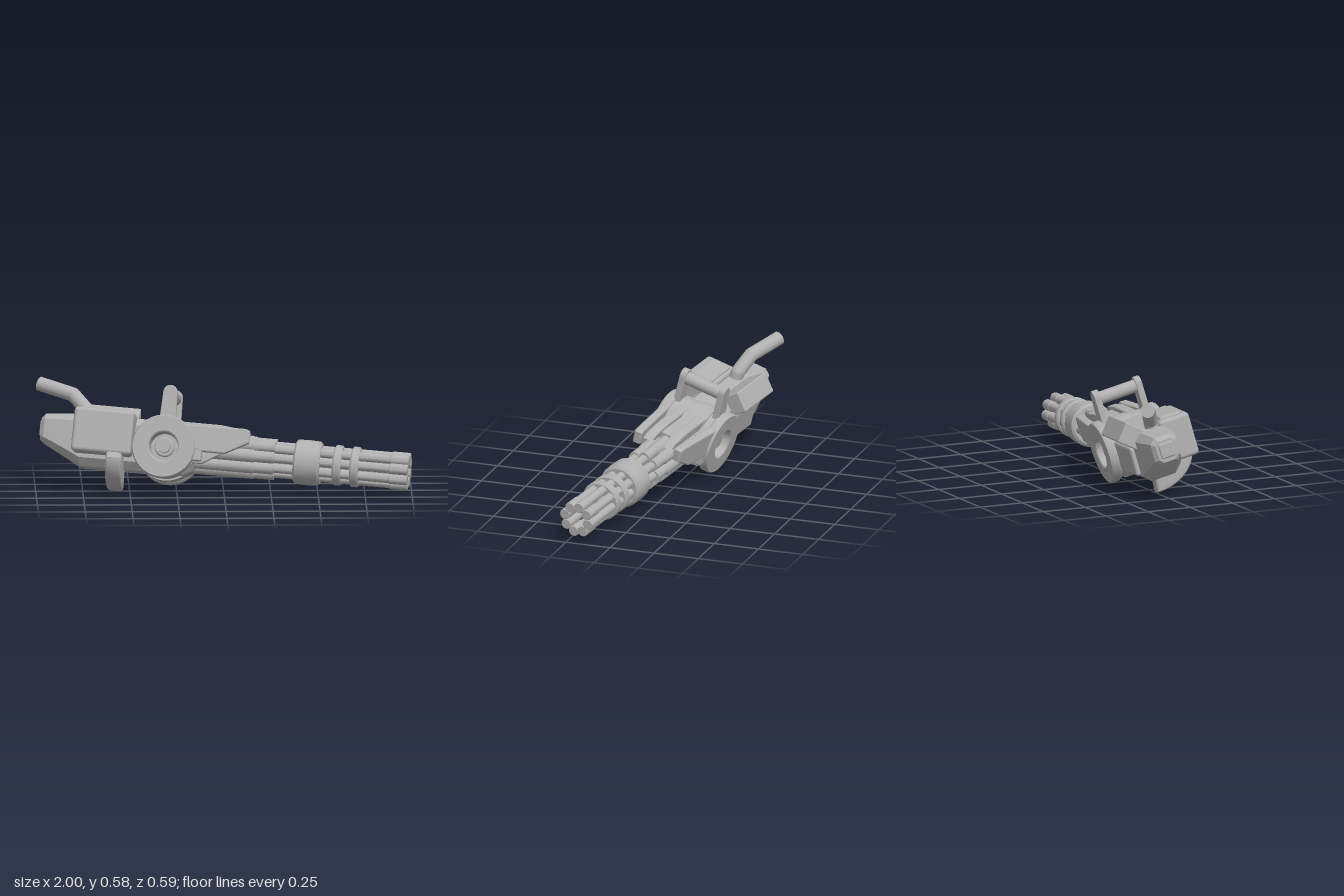
import * as THREE from 'three';
import { toCreasedNormals } from 'three/addons/utils/BufferGeometryUtils.js';
import { RoundedBoxGeometry } from 'three/addons/geometries/RoundedBoxGeometry.js';

const metal = new THREE.MeshStandardMaterial({ color: 0xb0b0b0 });
metal.name = 'grey metal';

export function createModel() {
  const model = new THREE.Group();
  model.name = 'rotaryGun';
  // Local frame: x runs along the barrels, y up, z to the front side
  const gun = new THREE.Group();
  gun.name = 'gun';
  const axisX = new THREE.Vector3(0.9855, -0.07, 0.154).normalize();
  const axisY = new THREE.Vector3(-0.131, 0.26, 0.957).cross(axisX).normalize();
  const axisZ = axisX.clone().cross(axisY);
  gun.quaternion.setFromRotationMatrix(new THREE.Matrix4().makeBasis(axisX, axisY, axisZ));
  gun.position.set(0, 0.197, 0.043);
  model.add(gun);

  const add = (name, geo, x = 0, y = 0, z = 0, rx = 0) => {
    const m = new THREE.Mesh(geo, metal);
    m.name = name;
    m.position.set(x, y, z);
    m.rotation.x = rx;
    gun.add(m);
    return m;
  };
  // Turned part along x from [radius, x] pairs, in order of rising x
  const turned = (pts, seg = 32) => toCreasedNormals(
    new THREE.LatheGeometry(pts.map(([r, x]) => new THREE.Vector2(r, x)), seg).rotateZ(-Math.PI / 2), 0.6);
  const box = (x0, x1, y0, y1, z0, z1, r, name) => add(name,
    new RoundedBoxGeometry(x1 - x0, y1 - y0, z1 - z0, 2, r), (x0 + x1) / 2, (y0 + y1) / 2, (z0 + z1) / 2);
  const plate = (pts, depth, bevel) => new THREE.ExtrudeGeometry(
    new THREE.Shape(pts.map(([x, y]) => new THREE.Vector2(x, y))),
    { depth: depth - 2 * bevel, bevelThickness: bevel, bevelSize: bevel, bevelOffset: -bevel, bevelSegments: 2 })
    .translate(0, 0, bevel - depth / 2);

  // Barrel cluster
  for (let i = 0; i < 8; i++) {
    const a = i / 8 * Math.PI * 2, c = Math.cos(a), s = Math.sin(a);
    add('barrel', turned([[0, 0.1], [0.025, 0.1], [0.025, 0.9], [0.029, 0.905], [0.029, 0.997], [0.026, 1], [0, 1]], 20),
      0, c * 0.072, s * 0.072);
    add('barrelSleeve', turned([[0, -0.25], [0.035, -0.25], [0.035, 0.17], [0.031, 0.175], [0.031, 0.28], [0, 0.28]], 16),
      0, c * 0.079, s * 0.079);
  }
  add('centreTube', turned([[0, -0.2], [0.062, -0.2], [0.062, 0.27], [0.045, 0.28], [0.045, 0.8], [0.03, 0.8], [0.03, 0.7], [0, 0.7]]));
  add('shroud', turned([[0, 0.385], [0.105, 0.385], [0.118, 0.395], [0.121, 0.45], [0.118, 0.515], [0.105, 0.527], [0, 0.527]], 40));
  for (const x of [0.618, 0.712]) {
    add('clampRing', turned([[0, x - 0.023], [0.1, x - 0.023], [0.108, x - 0.014], [0.108, x + 0.014], [0.1, x + 0.023], [0, x + 0.023]], 40));
  }

  // Receiver lofted from chamfered rectangles: [x, bottom, top, half width]
  const sections = [[-0.985, -0.01, 0.11, 0.055], [-0.965, -0.025, 0.13, 0.075], [-0.83, -0.095, 0.14, 0.1],
    [-0.76, -0.133, 0.145, 0.11], [-0.2, -0.133, 0.145, 0.11], [-0.14, -0.1, 0.11, 0.09]];
  const verts = [], index = [];
  sections.forEach(([x, b, t, h], k) => {
    const c = h * 0.38;
    const ring = [[b, -h + c], [b, h - c], [b + c, h], [t - c, h], [t, h - c], [t, -h + c], [t - c, -h], [b + c, -h]];
    ring.forEach(([y, z]) => verts.push(x, y, z));
    if (k) for (let i = 0; i < 8; i++) {
      const a = (k - 1) * 8 + i, b2 = (k - 1) * 8 + (i + 1) % 8;
      index.push(a, a + 8, b2, b2, a + 8, b2 + 8);
    }
  });
  const last = (sections.length - 1) * 8;
  for (let i = 1; i < 7; i++) index.push(0, i, i + 1, last, last + i + 1, last + i);
  // Turn every face outward from the middle of the body
  for (let i = 0; i < index.length; i += 3) {
    const [a, b, c] = [0, 1, 2].map(j => new THREE.Vector3().fromArray(verts, index[i + j] * 3));
    const n = b.clone().sub(a).cross(c.clone().sub(a));
    const out = a.add(b).add(c).divideScalar(3).sub(new THREE.Vector3(-0.55, 0.01, 0));
    if (n.dot(out) < 0) [index[i + 1], index[i + 2]] = [index[i + 2], index[i + 1]];
  }
  const loft = new THREE.BufferGeometry();
  loft.setAttribute('position', new THREE.Float32BufferAttribute(verts, 3));
  loft.setIndex(index);
  add('receiver', toCreasedNormals(loft, 0.3));

  // Central drum with a raised band
  add('drum', new THREE.CylinderGeometry(0.157, 0.157, 0.26, 40, 1, true).rotateX(Math.PI / 2), -0.305);
  add('drumBand', new THREE.CylinderGeometry(0.166, 0.166, 0.1, 40).rotateX(Math.PI / 2), -0.305, 0, -0.04);

  // Side wheels, side panels, handle posts and top covers on both sides
  const wheelProfile = [[0.135, 0], [0.162, 0], [0.17, 0.01], [0.17, 0.045], [0.164, 0.055], [0.084, 0.055], [0.078, 0.05],
    [0.072, -0.015], [0.052, -0.015], [0.052, 0.005], [0.046, 0.01], [0, 0.01]].map(([r, y]) => new THREE.Vector2(r, y));
  const panel = [[-0.2, 0.13], [0.12, 0.135], [0.145, 0.125], [0.145, 0.06], [0.02, -0.008], [-0.12, -0.008], [-0.2, 0.02]];
  const lowerPanel = [[-0.2, 0.03], [0, 0.03], [0, -0.01], [-0.1, -0.07], [-0.2, -0.07]];
  const cover = [[-0.28, 0.15], [-0.02, 0.15], [0.11, 0.135], [0.15, 0.112], [0.1, 0.1], [-0.28, 0.1]];
  const post = [[-0.045, 0.1], [0.045, 0.1]];
  for (let i = 0; i <= 10; i++) {
    const a = i / 10 * Math.PI;
    post.push([Math.cos(a) * 0.038, 0.297 + Math.sin(a) * 0.038]);
  }
  for (const s of [1, -1]) {
    add('sideWheel', toCreasedNormals(new THREE.LatheGeometry(wheelProfile, 48), 0.6), -0.305, 0, s * 0.126, s * Math.PI / 2);
    add('wheelNut', new THREE.CylinderGeometry(0.034, 0.036, 0.03, 8), -0.305, 0, s * 0.14, s * Math.PI / 2);
    add('sidePanel', plate(panel, 0.045, 0.008), 0, 0, s * 0.134).rotation.y = s * 0.08;
    add('lowerSidePanel', plate(lowerPanel, 0.03, 0.006), 0, 0, s * 0.112);
    add('wheelFairing', new RoundedBoxGeometry(0.11, 0.145, 0.065, 2, 0.008), -0.155, 0.012, s * 0.132);
    add('topCover', plate(cover, 0.055, 0.008), 0, 0, s * 0.06);
    add('handlePost', plate(post, 0.036, 0.005), -0.303, 0, s * 0.12);
  }
  box(-0.25, 0.04, 0.07, 0.128, -0.05, 0.05, 0.008, 'centreCover');
  add('handleBar', new THREE.CylinderGeometry(0.035, 0.035, 0.24, 24).rotateX(Math.PI / 2), -0.303, 0.285);

  // Rear boxes
  box(-0.795, -0.472, -0.07, 0.168, 0.045, 0.222, 0.022, 'frontBox');
  box(-0.76, -0.51, 0.14, 0.18, 0.065, 0.185, 0.012, 'frontBoxLid');
  add('backBox', new RoundedBoxGeometry(0.31, 0.115, 0.14, 2, 0.008), -0.635, 0.133, -0.106, 0.7);
  box(-0.74, -0.45, -0.09, 0.07, -0.135, -0.05, 0.015, 'backSideBlock');
  box(-0.992, -0.96, 0.01, 0.095, -0.042, 0.042, 0.01, 'rearPad');

  // Bent rear grip
  const bend = [[-0.735, 0.09, 0.018], [-0.75, 0.17, 0.016], [-0.836, 0.25, 0], [-1.03, 0.298, -0.054]]
    .map(p => new THREE.Vector3(...p));
  for (let i = 0; i < 3; i++) {
    const dir = bend[i + 1].clone().sub(bend[i]);
    const m = add('rearGrip', new THREE.CylinderGeometry(0.038, 0.038, dir.length(), 24));
    m.position.copy(bend[i]).addScaledVector(dir, 0.5);
    m.quaternion.setFromUnitVectors(new THREE.Vector3(0, 1, 0), dir.normalize());
    if (i < 2) add('rearGripElbow', new THREE.SphereGeometry(0.038, 24, 16)).position.copy(bend[i + 1]);
  }

  // Curved fin underneath, outlined in z and y
  const fin = new THREE.Shape();
  fin.moveTo(0, -0.08);
  fin.lineTo(-0.012, -0.242);
  fin.bezierCurveTo(0.1, -0.252, 0.22, -0.18, 0.232, -0.09);
  fin.lineTo(0.2, -0.02);
  fin.lineTo(0.04, -0.03);
  add('lowerFin', toCreasedNormals(new THREE.ExtrudeGeometry(fin, {
    depth: 0.05, bevelThickness: 0.018, bevelSize: 0.016, bevelOffset: -0.016, bevelSegments: 3, curveSegments: 14,
  }).translate(0, 0, -0.025).rotateY(-Math.PI / 2), 0.5), -0.56);
  return model;
}
